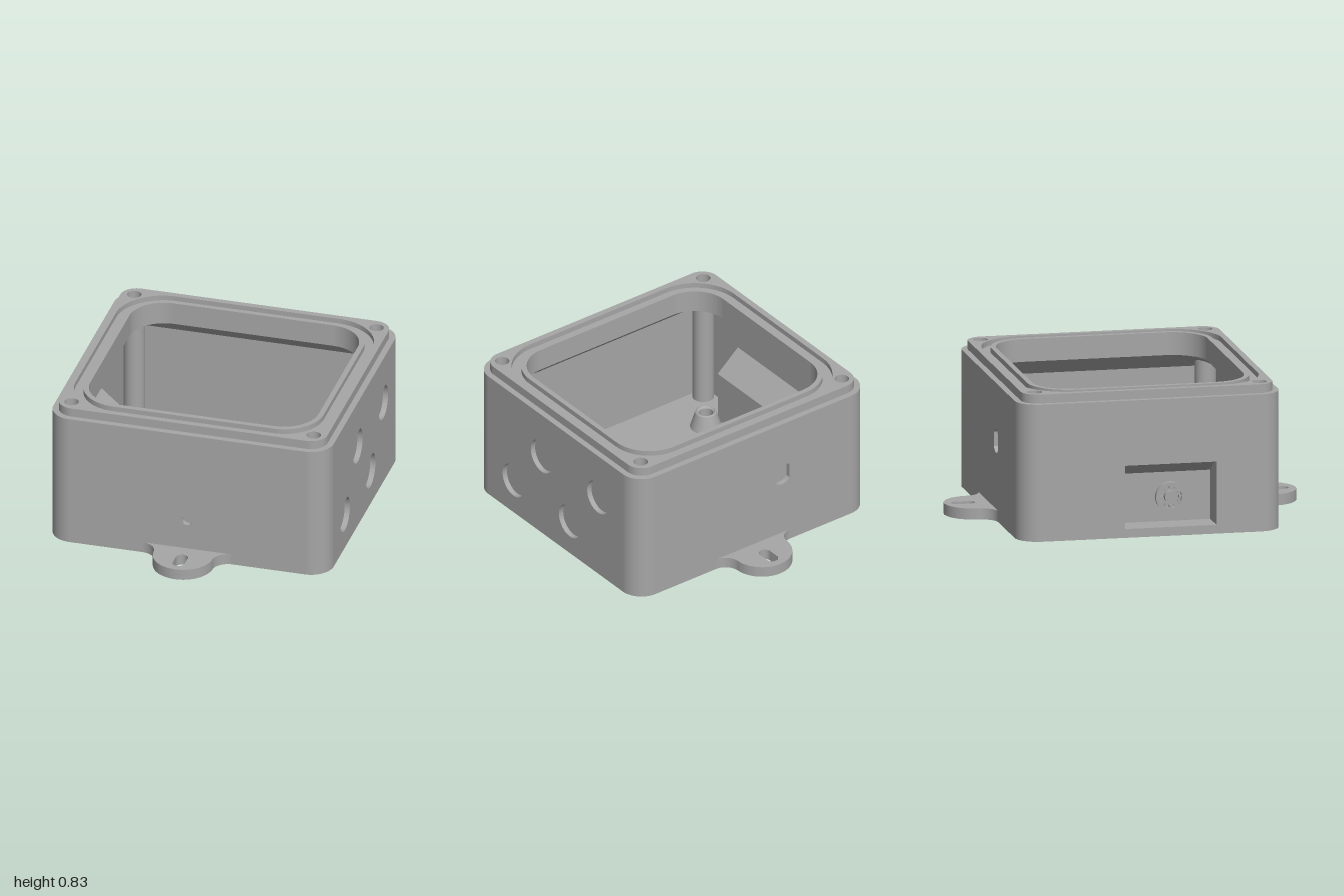
import * as THREE from 'three';

const W = 0.81, D = 0.75, R = 0.13, T = 0.05; // half width, half depth, corner radius, wall
const WALL_TOP = 0.7, STEP = 0.78, RIM = 0.83;

const shell = new THREE.MeshStandardMaterial({ color: 0xa6a6a6 });
shell.name = 'grey plastic';

function roundRect(w, d, r, Target = THREE.Shape) {
  const s = new Target();
  s.absarc(w - r, d - r, r, 0, Math.PI / 2);
  s.absarc(r - w, d - r, r, Math.PI / 2, Math.PI);
  s.absarc(r - w, r - d, r, Math.PI, 1.5 * Math.PI);
  s.absarc(w - r, r - d, r, 1.5 * Math.PI, 2 * Math.PI);
  s.closePath();
  return s;
}

function circle(x, y, r) {
  return new THREE.Path().absarc(x, y, r, 0, Math.PI * 2);
}

// Circle with its top cut flat
function flatTopHole(x, y, r, flat) {
  const a = Math.asin(flat / r);
  const p = new THREE.Path().absarc(x, y, r, Math.PI - a, 2 * Math.PI + a);
  p.closePath();
  return p;
}

// Circle with both sides cut flat
function flatSideHole(x, y, r, flat) {
  const a = Math.acos(flat / r);
  const p = new THREE.Path();
  p.absarc(x, y, r, a, Math.PI - a);
  p.absarc(x, y, r, Math.PI + a, 2 * Math.PI - a);
  p.closePath();
  return p;
}

function rectPath(x0, y0, x1, y1) {
  return new THREE.Path([[x0, y0], [x1, y0], [x1, y1], [x0, y1], [x0, y0]].map(p => new THREE.Vector2(...p)));
}

function extrude(shape, depth, holes = []) {
  shape.holes.push(...holes);
  return new THREE.ExtrudeGeometry(shape, { depth, bevelEnabled: false, curveSegments: 20 });
}

export function createModel() {
  const model = new THREE.Group();
  model.name = 'enclosure';

  const add = (name, geometry, parent = model) => {
    const m = new THREE.Mesh(geometry, shell);
    m.name = name;
    parent.add(m);
    return m;
  };

  // Horizontal slab between two heights; shape y runs towards the back
  const slab = (name, shape, y0, y1, holes) =>
    add(name, extrude(shape, y1 - y0, holes).rotateX(-Math.PI / 2).translate(0, y0, 0));

  // Wall with an outer layer that carries the recesses and a solid inner layer
  function wall(name, half, distance, turn, recesses, openings = []) {
    const g = new THREE.Group();
    g.name = name;
    g.rotation.y = turn;
    const face = () => new THREE.Shape(rectPath(-half, 0, half, WALL_TOP).getPoints());
    add(name + 'Outer', extrude(face(), 0.03, [...recesses, ...openings]).translate(0, 0, distance - 0.03), g);
    add(name + 'Inner', extrude(face(), T - 0.03, openings).translate(0, 0, distance - T), g);
    model.add(g);
  }

  const knockouts = [[-0.39, 0.21], [0.13, 0.21], [-0.13, 0.505], [0.39, 0.505]];
  wall('frontWall', W - R, D, 0, [circle(0, 0.24, 0.03)]);
  wall('backWall', W - R, D, Math.PI, [flatSideHole(0.2, 0.45, 0.068, 0.054)]);
  wall('leftWall', D - R, W, Math.PI / 2, knockouts.map(([x, y]) => flatTopHole(x, y, 0.1, 0.087)));
  wall('rightWall', D - R, W, -Math.PI / 2, [], [rectPath(-0.15, 0.05, 0.37, 0.41)]);

  // Rounded wall corners
  [[1, 1], [-1, 1], [-1, -1], [1, -1]].forEach(([sx, sy], i) => {
    const a = i * Math.PI / 2, cx = sx * (W - R), cy = sy * (D - R);
    const s = new THREE.Shape();
    s.absarc(cx, cy, R, a, a + Math.PI / 2);
    s.absarc(cx, cy, R - T, a + Math.PI / 2, a, true);
    s.closePath();
    slab('wallCorner', s, 0, WALL_TOP);
  });

  // Floor with round knockouts
  const spots = [];
  for (const x of [-0.47, 0, 0.47]) for (const z of [-0.25, 0.11]) spots.push([x, z]);
  slab('floorOuter', roundRect(W - T, D - T, R - T), 0, 0.03, spots.map(([x, z]) => circle(x, -z, 0.085)));
  slab('floorInner', roundRect(W - T, D - T, R - T), 0.03, 0.045);
  for (const [x, z] of spots) {
    add('floorKnockout', new THREE.CylinderGeometry(0.105, 0.105, 0.01, 40)).position.set(x, 0.05, z);
  }

  // Rim: flange, step, outer lip with screw holes, seal groove and inner rib
  const screws = [];
  for (const x of [-0.7, 0.7]) for (const z of [-0.64, 0.64]) screws.push([x, z]);
  const screwHoles = () => screws.map(([x, z]) => circle(x, z, 0.04));
  const opening = () => roundRect(0.66, 0.6, 0.2, THREE.Path);
  slab('flange', roundRect(W, D, R), WALL_TOP, STEP, [opening(), ...screwHoles()]);
  slab('rimStep', roundRect(0.775, 0.715, 0.095), STEP, 0.8, [opening(), ...screwHoles()]);
  slab('rimLip', roundRect(0.775, 0.715, 0.095), 0.8, RIM, [roundRect(0.74, 0.68, 0.27, THREE.Path), ...screwHoles()]);
  slab('rimRib', roundRect(0.69, 0.63, 0.23), 0.8, RIM, [opening()]);

  // Sloped underside joining the opening to the walls
  const ring = (w, d, r, y) => {
    const pts = [];
    for (let c = 0; c < 4; c++) for (let k = 0; k <= 10; k++) {
      const a = (c + k / 10) * Math.PI / 2;
      const sx = c === 0 || c === 3 ? 1 : -1, sz = c < 2 ? 1 : -1;
      pts.push([sx * (w - r) + r * Math.cos(a), y, sz * (d - r) + r * Math.sin(a)]);
    }
    return pts;
  };
  const low = ring(W - T, D - T, R - T, 0.61), high = ring(0.66, 0.6, 0.2, WALL_TOP);
  const n = low.length, index = [];
  for (let i = 0; i < n; i++) {
    const j = (i + 1) % n;
    index.push(i, j, n + i, j, n + j, n + i);
  }
  const slope = new THREE.BufferGeometry();
  slope.setAttribute('position', new THREE.Float32BufferAttribute([...low, ...high].flat(), 3));
  slope.setIndex(index);
  slope.computeVertexNormals();
  add('flangeUnderside', slope);

  // Screw columns in the corners
  for (const [x, z] of screws) {
    add('screwColumn', new THREE.CylinderGeometry(0.06, 0.06, 0.66, 28)).position.set(x, 0.37, z);
  }

  // Tapered standoffs on the floor
  const profile = [[0.09, 0.04], [0.06, 0.14], [0.06, 0.14], [0.052, 0.145], [0.052, 0.145], [0.04, 0.135], [0.04, 0.135], [0.04, 0.06], [0.04, 0.06], [0, 0.06]];
  const standoff = new THREE.LatheGeometry(profile.map(p => new THREE.Vector2(...p)), 32);
  for (const x of [-0.53, 0.53]) for (const z of [-0.475, 0.39]) {
    add('standoff', standoff).position.set(x, 0, z);
  }

  // Mounting ears with slots
  for (const turn of [0, Math.PI]) {
    const s = new THREE.Shape();
    s.moveTo(-0.26, 0.74);
    s.lineTo(-0.26, 0.75);
    s.absarc(-0.26, 0.84, 0.09, -Math.PI / 2, 0);
    s.absarc(0, 0.83, 0.17, Math.PI, 0, true);
    s.absarc(0.26, 0.84, 0.09, Math.PI, 1.5 * Math.PI);
    s.lineTo(0.26, 0.74);
    const slot = new THREE.Path();
    slot.absarc(0, 0.925, 0.034, 0, Math.PI);
    slot.absarc(0, 0.86, 0.034, Math.PI, 2 * Math.PI);
    slot.closePath();
    slab('mountingEar', s, 0, 0.063, [slot]).rotation.y = turn;
  }

  // Recessed connector pocket, bulging into the box with a sloped top
  const poly = pts => new THREE.Shape(pts.map(p => new THREE.Vector2(...p)));
  const outer = [[-0.77, 0.48], [-0.62, 0.35], [-0.62, 0.04], [-0.77, 0.04]];
  const inner = [[-0.77, 0.05], [-0.65, 0.05], [-0.65, 0.33], [-0.77, 0.41]];
  add('pocketShell', extrude(poly([...outer, ...inner]), 0.52).translate(0, 0, -0.15));
  for (const z of [-0.18, 0.37]) add('pocketEnd', extrude(poly(outer), 0.03).translate(0, 0, z));

  // Round connector in the pocket
  const connector = new THREE.Group();
  connector.name = 'connector';
  connector.position.set(-0.65, 0.19, 0.14);
  connector.rotation.y = -Math.PI / 2;
  model.add(connector);
  const collar = new THREE.Shape().absarc(0, 0, 0.085, 0, Math.PI * 2);
  add('collar', extrude(collar, 0.03, [circle(0, 0, 0.062)]), connector);
  add('core', new THREE.CylinderGeometry(0.035, 0.035, 0.03, 24).rotateX(Math.PI / 2).translate(0, 0, 0.015), connector);
  for (let i = 0; i < 12; i++) {
    const tooth = new THREE.BoxGeometry(0.016, 0.012, 0.024).translate(0.056, 0, 0.012);
    add('tooth', tooth.rotateZ(i * Math.PI / 6), connector);
  }
  return model;
}
